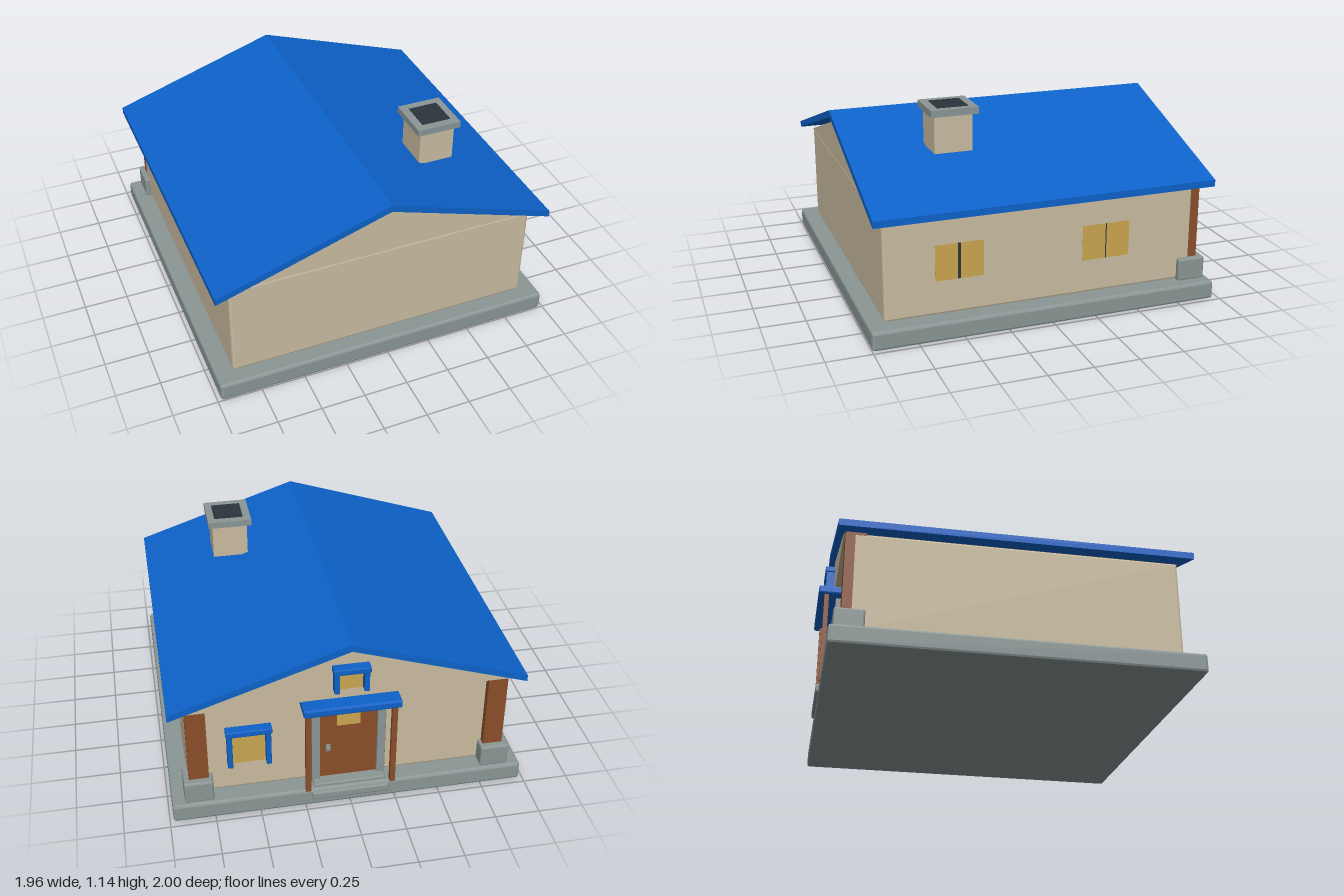
import * as THREE from 'three';
import { RoundedBoxGeometry } from 'three/addons/geometries/RoundedBoxGeometry.js';

function material(name, color) {
  const m = new THREE.MeshStandardMaterial({ color });
  m.name = name;
  return m;
}

export function createModel() {
  const house = new THREE.Group();
  house.name = 'house';
  const plaster = material('plaster', 0xc9bb9f);
  const stone = material('stone', 0x8a9695);
  const blue = material('bluePaint', 0x0d62ca);
  const wood = material('wood', 0x8a4f2a);
  const glass = material('yellowGlass', 0xcaa650);
  const dark = material('dark', 0x2b343c);

  function add(name, geometry, mat, parent = house) {
    const mesh = new THREE.Mesh(geometry, mat);
    mesh.name = name;
    parent.add(mesh);
    return mesh;
  }
  // Box given by its limits on each axis, with an optional flat chamfer
  function box(name, mat, [x0, x1], [y0, y1], [z0, z1], chamfer = 0, parent = house) {
    const size = [x1 - x0, y1 - y0, z1 - z0];
    const g = chamfer ? new RoundedBoxGeometry(...size, 1, chamfer) : new THREE.BoxGeometry(...size);
    if (chamfer) g.computeVertexNormals();
    const mesh = add(name, g, mat, parent);
    mesh.position.set((x0 + x1) / 2, (y0 + y1) / 2, (z0 + z1) / 2);
    return mesh;
  }
  // Outline in x and y drawn out from z0 to z1
  function prism(name, mat, points, z0, z1) {
    const shape = new THREE.Shape(points.map(p => new THREE.Vector2(...p)));
    const g = new THREE.ExtrudeGeometry(shape, { depth: z1 - z0, bevelEnabled: false });
    add(name, g.translate(0, 0, z0), mat);
  }

  // Foundation, walls, gables and roof
  box('foundation', stone, [-0.98, 0.98], [0, 0.105], [-0.965, 1], 0.014);
  box('walls', plaster, [-0.88, 0.88], [0.105, 0.68], [-0.86, 0.91], 0.014);
  prism('gable', plaster, [[-0.88, 0.675], [0.88, 0.675], [0, 0.972]], -0.91, 0.912);
  prism('roof', blue, [[-0.97, 0.667], [0, 0.985], [0.97, 0.667], [0.97, 0.705], [0, 1.025], [-0.97, 0.705]], -0.942, 0.975);

  // Chimney
  box('chimneyStack', plaster, [0.37, 0.575], [0.89, 1.1], [0.322, 0.535]);
  box('chimneyCap', stone, [0.345, 0.6], [1.097, 1.135], [0.292, 0.558]);
  box('chimneyOpening', dark, [0.39, 0.56], [1.13, 1.137], [0.338, 0.512]);

  // Corner pillars on stone footings
  for (const s of [-1, 1]) {
    const span = (a, b) => (s > 0 ? [a, b] : [-b, -a]);
    box('cornerPillar', wood, span(0.77, 0.879), [0.2, 0.685], [-0.9, -0.79]);
    box('pillarFooting', stone, span(0.75, 0.91), [0.1, 0.23], [-0.94, -0.78], 0.01);
  }

  // Side windows, two panes around a dark mullion
  for (const [z0, z1, mid, half] of [[0.365, 0.632, 0.5, 0.008], [-0.475, -0.2, -0.337, 0.003]]) {
    const y = [0.298, 0.498], x = [0.875, 0.882];
    box('sideWindowPane', glass, x, y, [z0, mid - half]);
    box('sideWindowPane', glass, x, y, [mid + half, z1]);
    box('sideWindowMullion', dark, x, y, [mid - half, mid + half]);
  }

  // Back windows with a blue lintel and jambs
  function framedWindow(name, cx, half, y0, y1, wallZ) {
    const g = new THREE.Group();
    g.name = name;
    house.add(g);
    const z = [wallZ - 0.055, wallZ + 0.02], t = 0.03;
    box('pane', glass, [cx - half + t, cx + half - t], [y0, y1 - t], [wallZ - 0.006, wallZ + 0.001], 0, g);
    box('lintel', blue, [cx - half, cx + half], [y1 - 0.035, y1], z, 0.005, g);
    for (const s of [-1, 1]) {
      const x = cx + s * (half - 0.02);
      box('jamb', blue, [x - 0.014, x + 0.014], [y0, y1 - 0.02], [z[0] + 0.006, z[1]], 0.004, g);
    }
  }
  framedWindow('backWindow', 0.545, 0.125, 0.28, 0.525, -0.86);
  framedWindow('atticWindow', 0, 0.1, 0.735, 0.89, -0.91);

  // Door with its stone surround
  box('door', wood, [-0.16, 0.16], [0.105, 0.61], [-0.88, -0.84]);
  box('doorWindow', glass, [-0.065, 0.065], [0.47, 0.555], [-0.886, -0.879]);
  box('doorHandlePlate', stone, [0.1, 0.125], [0.3, 0.345], [-0.886, -0.879]);
  box('doorKnob', stone, [0.103, 0.122], [0.315, 0.335], [-0.9, -0.88], 0.004);
  box('doorHeader', stone, [-0.205, 0.205], [0.595, 0.64], [-0.9, -0.84]);
  for (const s of [-1, 1]) {
    box('doorJamb', stone, [s * 0.182 - 0.023, s * 0.182 + 0.023], [0.1, 0.62], [-0.9, -0.84], 0.005);
    box('porchPost', wood, [s * 0.235 - 0.015, s * 0.235 + 0.015], [0.1, 0.64], [-0.968, -0.942]);
  }

  // Porch roof and step
  box('porchRoof', blue, [-0.265, 0.265], [0.63, 0.677], [-1, -0.85], 0.009);
  box('threshold', stone, [-0.2, 0.2], [0.09, 0.122], [-0.945, -0.85], 0.006);
  box('doorStep', stone, [-0.215, 0.215], [0.045, 0.092], [-0.982, -0.9], 0.008);
  return house;
}
